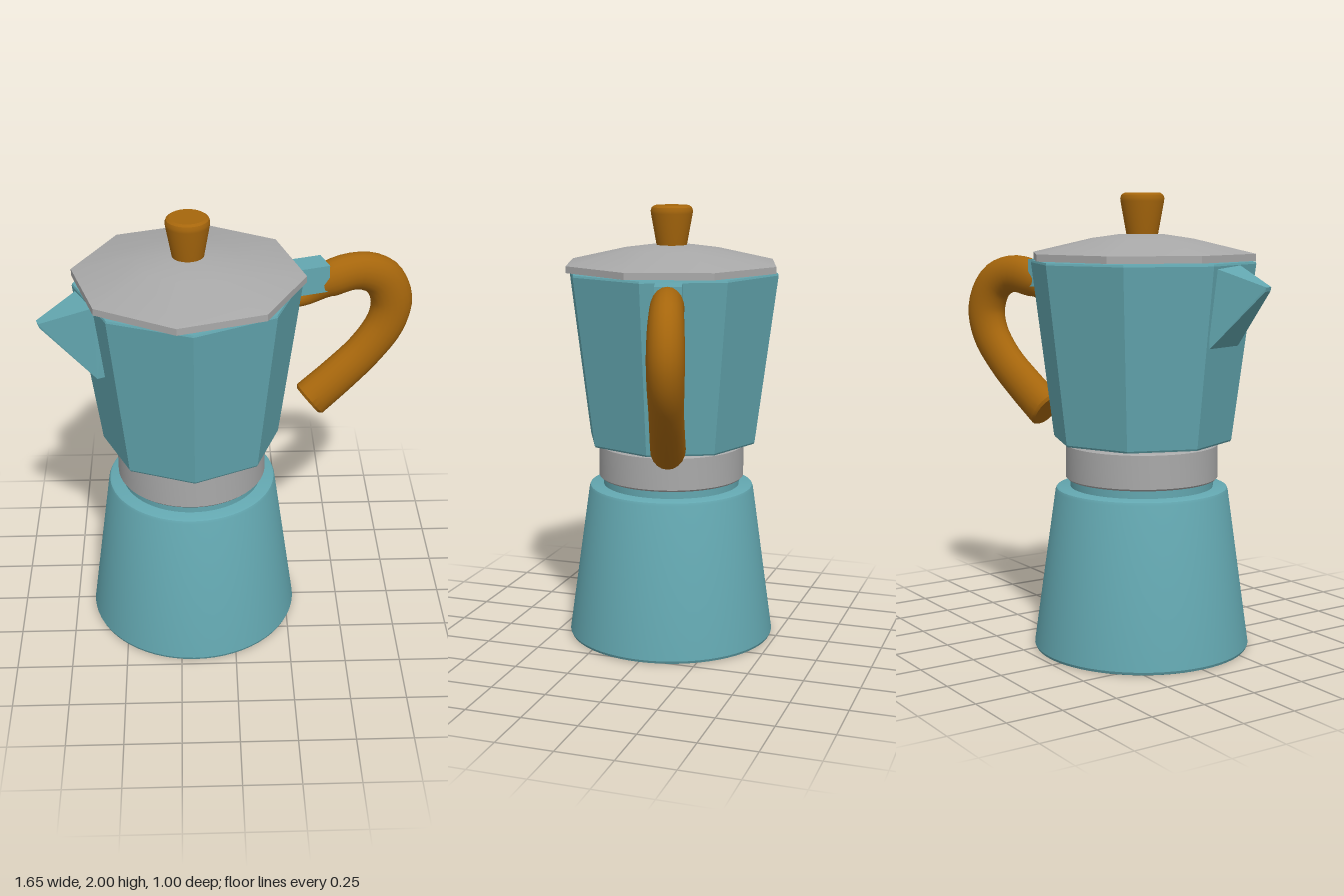
import * as THREE from 'three';
import { toCreasedNormals } from 'three/addons/utils/BufferGeometryUtils.js';
import { ConvexGeometry } from 'three/addons/geometries/ConvexGeometry.js';

const rad = THREE.MathUtils.degToRad;

function paint(name, color) {
  const m = new THREE.MeshStandardMaterial({ color });
  m.name = name;
  return m;
}

export function createModel() {
  const teal = paint('teal enamel', 0x63a7b0);
  const metal = paint('brushed metal', 0xa9a9a9);
  const wood = paint('brown wood', 0xa6660c);

  const model = new THREE.Group();
  model.name = 'stovetopCoffeePot';
  model.position.x = -0.19;

  const add = (parent, name, geometry, material) => {
    const mesh = new THREE.Mesh(geometry, material);
    mesh.name = name;
    parent.add(mesh);
    return mesh;
  };

  // Turned part from [radius, height] pairs, listed bottom to top
  const turned = (name, profile, material, sides = 64, angle = 0, crease = 30) => {
    const points = profile.map(([r, y]) => new THREE.Vector2(r, y));
    const g = new THREE.LatheGeometry(points, sides, rad(-angle));
    return add(model, name, toCreasedNormals(g, rad(crease)), material);
  };

  // Round water base with softened rims, and its neck
  turned('waterBase', [
    [0, 0], [0.462, 0], [0.472, 0.004], [0.477, 0.016],
    [0.381, 0.705], [0.376, 0.717], [0.366, 0.722], [0, 0.722],
  ], teal);
  turned('neck', [[0, 0.715], [0.315, 0.715], [0.315, 0.755], [0.30, 0.77], [0, 0.77]], teal);
  turned('collar', [
    [0, 0.757], [0.327, 0.757], [0.335, 0.765], [0.335, 0.91], [0.327, 0.918], [0, 0.918],
  ], metal);

  // Eight-sided upper jug
  turned('jug', [
    [0, 0.928], [0.39, 0.928], [0.395, 0.936], [0.494, 1.7], [0.491, 1.709], [0, 1.709],
  ], teal, 8, -2, 20);

  // Eight-sided lid with a shallow dome
  turned('lid', [
    [0, 1.714], [0.502, 1.714], [0.502, 1.744], [0.23, 1.806], [0.1, 1.824], [0, 1.826],
  ], metal, 8, 5.7, 20);

  // Knob
  turned('lidKnob', [
    [0, 1.81], [0.066, 1.81], [0.094, 1.965], [0.095, 1.978],
    [0.09, 1.992], [0.078, 2], [0, 2],
  ], wood, 40);

  // Handle and spout lie on one slightly turned axis
  const axis = new THREE.Group();
  axis.name = 'handleAndSpout';
  axis.rotation.y = rad(16.8);
  model.add(axis);

  // Wedge spout narrowing to a small tip
  const spoutPoints = [];
  for (const s of [-1, 1]) {
    for (const [u, y, w] of [
      [0.38, 1.365, 0.1], [0.44, 1.36, 0.1], [0.38, 1.705, 0.11],
      [0.44, 1.7, 0.105], [0.66, 1.618, 0.018], [0.655, 1.6, 0.018],
    ]) spoutPoints.push(new THREE.Vector3(-u, y, s * w));
  }
  add(axis, 'spout', new ConvexGeometry(spoutPoints), teal);

  // Bracket joining handle to jug
  const bracket = add(axis, 'handleBracket', new THREE.BoxGeometry(0.23, 0.125, 0.115), teal);
  bracket.position.set(0.51, 1.642, 0);

  add(axis, 'handle', handleGeometry(), wood);
  return model;
}

// Curved grip: oval rings swept along a path of [x, y, radius]
function handleGeometry() {
  const path = new THREE.CatmullRomCurve3([
    [0.44, 1.535, 0.036], [0.541, 1.545, 0.043], [0.64, 1.608, 0.084], [0.789, 1.63, 0.086],
    [0.9, 1.58, 0.092], [0.955, 1.465, 0.096], [0.933, 1.35, 0.094],
    [0.839, 1.225, 0.09], [0.712, 1.115, 0.092], [0.574, 1.01, 0.095],
  ].map(p => new THREE.Vector3(...p)));
  const steps = 36, sides = 20;
  const rings = [];
  for (let i = 0; i <= steps; i++) {
    const p = path.getPoint(i / steps);
    const t = path.getTangent(i / steps);
    const l = Math.hypot(t.x, t.y);
    rings.push({ x: p.x, y: p.y, r: p.z, tx: t.x / l, ty: t.y / l });
  }
  // Close both ends, with a small bevel on the free one
  const first = rings[0], last = rings[steps];
  rings.unshift({ ...first, r: 0 });
  const end = { ...last, x: last.x + last.tx * 0.012, y: last.y + last.ty * 0.012 };
  rings.push({ ...end, r: last.r - 0.012 }, { ...end, r: 0 });

  const positions = [], index = [];
  rings.forEach(({ x, y, r, tx, ty }, i) => {
    for (let j = 0; j < sides; j++) {
      const a = (j / sides) * Math.PI * 2;
      const c = r * Math.cos(a);
      positions.push(x - ty * c, y + tx * c, 0.8 * r * Math.sin(a));
      if (i === 0) continue;
      const k = (j + 1) % sides;
      const a0 = (i - 1) * sides + j, a1 = (i - 1) * sides + k;
      const b0 = i * sides + j, b1 = i * sides + k;
      if (i > 1) index.push(a0, a1, b0);
      if (i < rings.length - 1) index.push(a1, b1, b0);
      else index.splice(index.length, 0);
    }
  });
  const g = new THREE.BufferGeometry();
  g.setAttribute('position', new THREE.Float32BufferAttribute(positions, 3));
  g.setIndex(index);
  return toCreasedNormals(g, rad(40));
}
